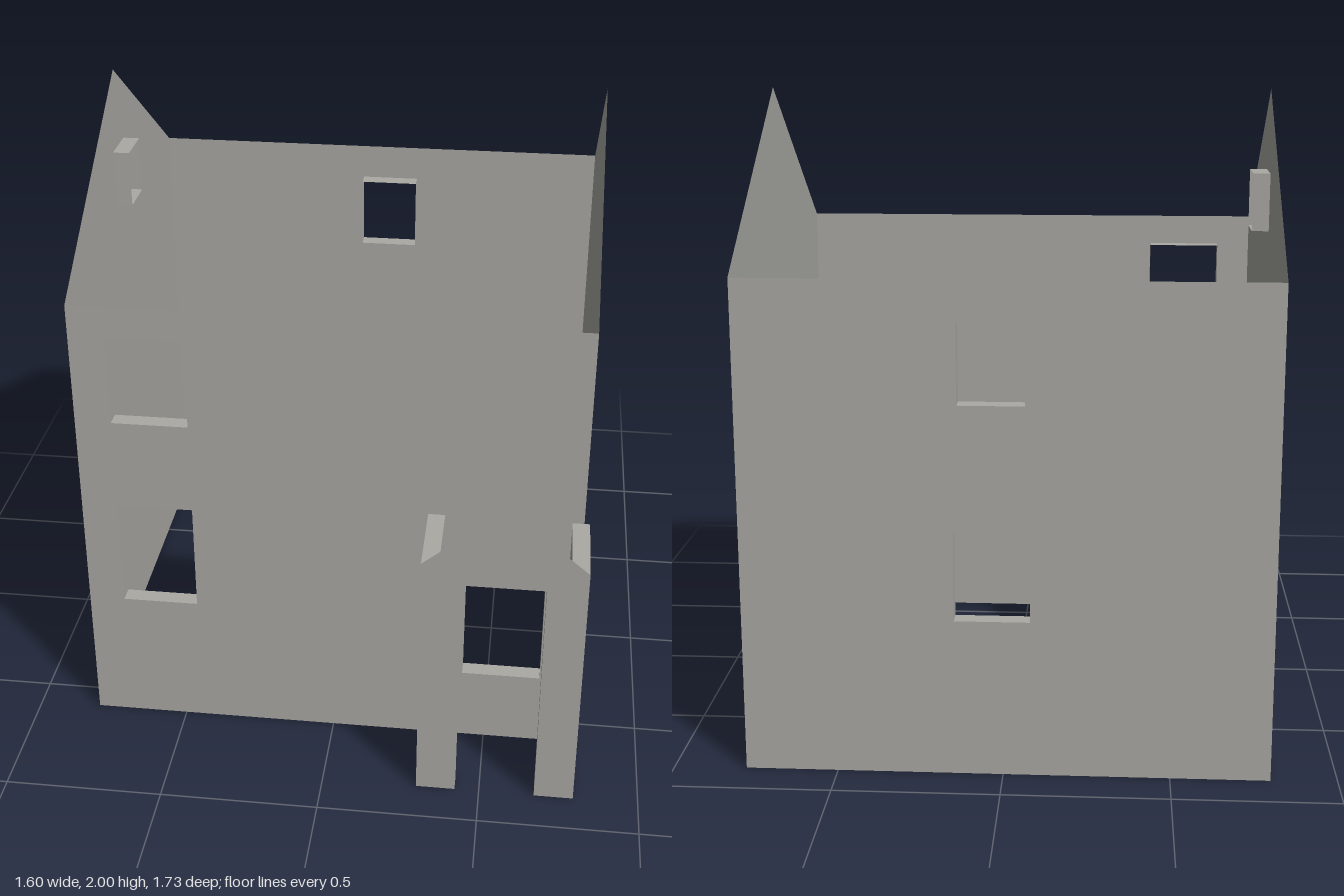
import * as THREE from 'three';

const stone = new THREE.MeshStandardMaterial({ color: 0xaaa9a4, side: THREE.DoubleSide });
stone.name = 'stone grey';

const DEPTH = 0.053; // depth of window reveals and porch walls
const LEFT = -0.8, RIGHT = 0.78, FRONT = 0.592, BACK = -0.865;
const EAVES = 1.505, RIDGE = 2, RIDGE_Z = (FRONT + BACK) / 2;

function mesh(name, geometry) {
  const m = new THREE.Mesh(geometry, stone);
  m.name = name;
  return m;
}

const toPoints = (pts) => pts.map(([x, y]) => new THREE.Vector2(x, y));
const rectangle = ([a, b, c, d]) => [[a, b], [c, b], [c, d], [a, d]];

// Open rectangular sleeve lining an opening, from z = 0 to z = depth
function revealGeometry(rect, depth) {
  const corners = rectangle(rect);
  const positions = [];
  for (let i = 0; i < 4; i++) {
    const [ax, ay] = corners[i];
    const [bx, by] = corners[(i + 1) % 4];
    positions.push(ax, ay, 0, ax, ay, depth, bx, by, depth);
    positions.push(ax, ay, 0, bx, by, depth, bx, by, 0);
  }
  const g = new THREE.BufferGeometry();
  g.setAttribute('position', new THREE.Float32BufferAttribute(positions, 3));
  g.computeVertexNormals();
  return g;
}

// Thin wall in the xy plane with openings [x0, y0, x1, y1]; reveals point inward
function wall(name, outline, openings, inward) {
  const group = new THREE.Group();
  group.name = name;
  const shape = new THREE.Shape(toPoints(outline));
  for (const o of openings) {
    shape.holes.push(new THREE.Path(toPoints(rectangle(o).reverse())));
    group.add(mesh('windowReveal', revealGeometry(o, inward * DEPTH)));
  }
  group.add(mesh('wallPanel', new THREE.ShapeGeometry(shape)));
  return group;
}

function createPorch() {
  const porch = new THREE.Group();
  porch.name = 'porch';
  const x0 = 0.3, x1 = 0.797, front = 0.865, top = 0.853;
  const mid = (x0 + x1) / 2, inner = front - DEPTH;

  // Front slab with a doorway open to the ground
  const slab = new THREE.Shape(toPoints([
    [x0, 0], [0.423, 0], [0.423, 0.785], [0.674, 0.785],
    [0.674, 0], [x1, 0], [x1, top], [x0, top],
  ]));
  const slabMesh = mesh('porchFront', new THREE.ExtrudeGeometry(slab, { depth: DEPTH, bevelEnabled: false }));
  slabMesh.position.z = inner;
  porch.add(slabMesh);

  // Thin gable flush with the front face
  const gable = mesh('porchGable', new THREE.ShapeGeometry(
    new THREE.Shape(toPoints([[x0, top], [x1, top], [mid, 1.06]]))));
  gable.position.z = front;
  porch.add(gable);

  // Side walls
  for (const x of [x0 + DEPTH / 2, x1 - DEPTH / 2]) {
    const side = mesh('porchSide', new THREE.BoxGeometry(DEPTH, top, inner - FRONT));
    side.position.set(x, top / 2, (inner + FRONT) / 2);
    porch.add(side);
  }
  return porch;
}

export function createModel() {
  const house = new THREE.Group();
  house.name = 'house';

  // Front and back walls
  const longWall = rectangle([LEFT, 0, RIGHT, EAVES]);
  const frontWall = wall('frontWall', longWall, [
    [-0.686, 0.45, -0.445, 0.81],
    [-0.686, 1.11, -0.445, 1.405],
    [0.423, 0.25, 0.674, 0.757],
  ], -1);
  frontWall.position.z = FRONT;

  const backWall = wall('backWall', longWall, [
    [-0.08, 0.485, 0.145, 0.757],
    [-0.066, 1.14, 0.132, 1.385],
  ], 1);
  backWall.position.z = BACK;

  // Gable walls, drawn with local x running towards the back
  const gable = [[-FRONT, 0], [-BACK, 0], [-BACK, EAVES], [-RIDGE_Z, RIDGE], [-FRONT, EAVES]];
  const windowGable = wall('windowGableWall', gable, [[0.069, 1.56, 0.211, 1.742]], 1);
  windowGable.position.x = LEFT;
  windowGable.rotation.y = Math.PI / 2;

  const plainGable = wall('plainGableWall', gable, [], -1);
  plainGable.position.x = RIGHT;
  plainGable.rotation.y = Math.PI / 2;

  house.add(frontWall, backWall, windowGable, plainGable, createPorch());
  return house;
}
